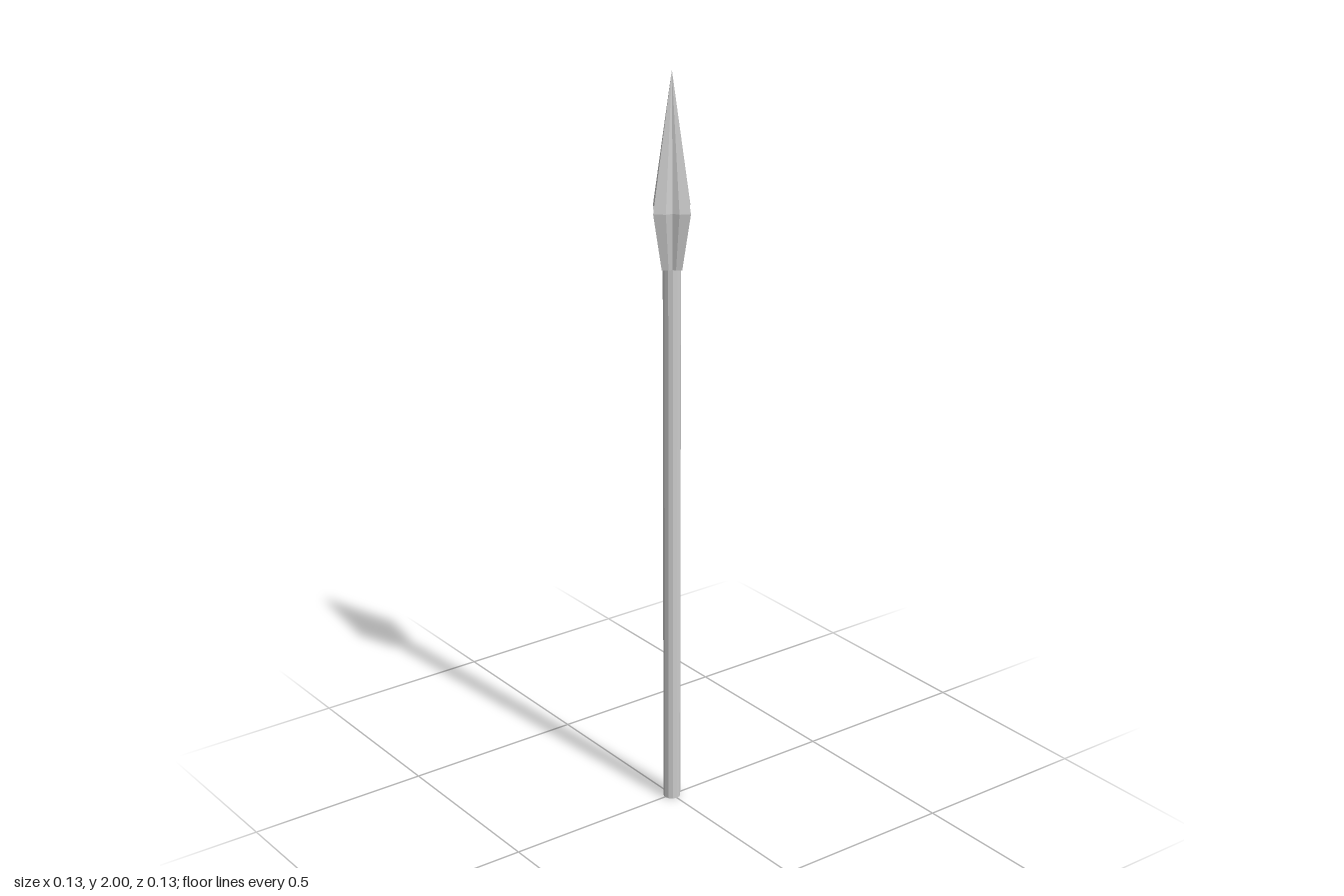
import * as THREE from 'three';

export function createModel() {
  const group = new THREE.Group();
  const material = new THREE.MeshStandardMaterial({ color: 0xcccccc, flatShading: true });

  // Shaft
  const shaft = new THREE.Mesh(new THREE.CylinderGeometry(0.023, 0.023, 1.52, 12), material);
  shaft.name = 'shaft';
  shaft.position.y = 0.76;
  group.add(shaft);

  // Star section of the head at its widest: four ridges and valleys, one quadrant chipped
  const star = [];
  for (let i = 0; i < 4; i++) {
    const c = Math.round(Math.cos(i * Math.PI / 2)), s = Math.round(Math.sin(i * Math.PI / 2));
    const quadrant = i === 0
      ? [[0.065, -0.01], [0.05, 0.014], [0.034, 0.023], [0.03, 0.041]]
      : [[0.065, -0.01], [0.032, 0.025]];
    for (const [x, z] of quadrant) star.push([x * c - z * s, x * s + z * c]);
  }

  // Head: flared socket ring, widest ring, then a point
  const rings = [[1.5, 0.55], [1.65, 1], [2, 0]].map(([y, k]) => star.map(([x, z]) => [x * k, y, z * k]));
  const positions = [];
  const triangle = (...corners) => corners.forEach((p) => positions.push(...p));
  star.forEach((_, i) => {
    const j = (i + 1) % star.length;
    const [low, wide, tip] = rings;
    triangle([0, 1.5, 0], low[i], low[j]);
    triangle(low[i], wide[i], wide[j]);
    triangle(low[i], wide[j], low[j]);
    triangle(wide[i], tip[i], wide[j]);
  });
  const geometry = new THREE.BufferGeometry();
  geometry.setAttribute('position', new THREE.Float32BufferAttribute(positions, 3));
  geometry.computeVertexNormals();
  const head = new THREE.Mesh(geometry, material);
  head.name = 'spearhead';
  group.add(head);

  return group;
}
